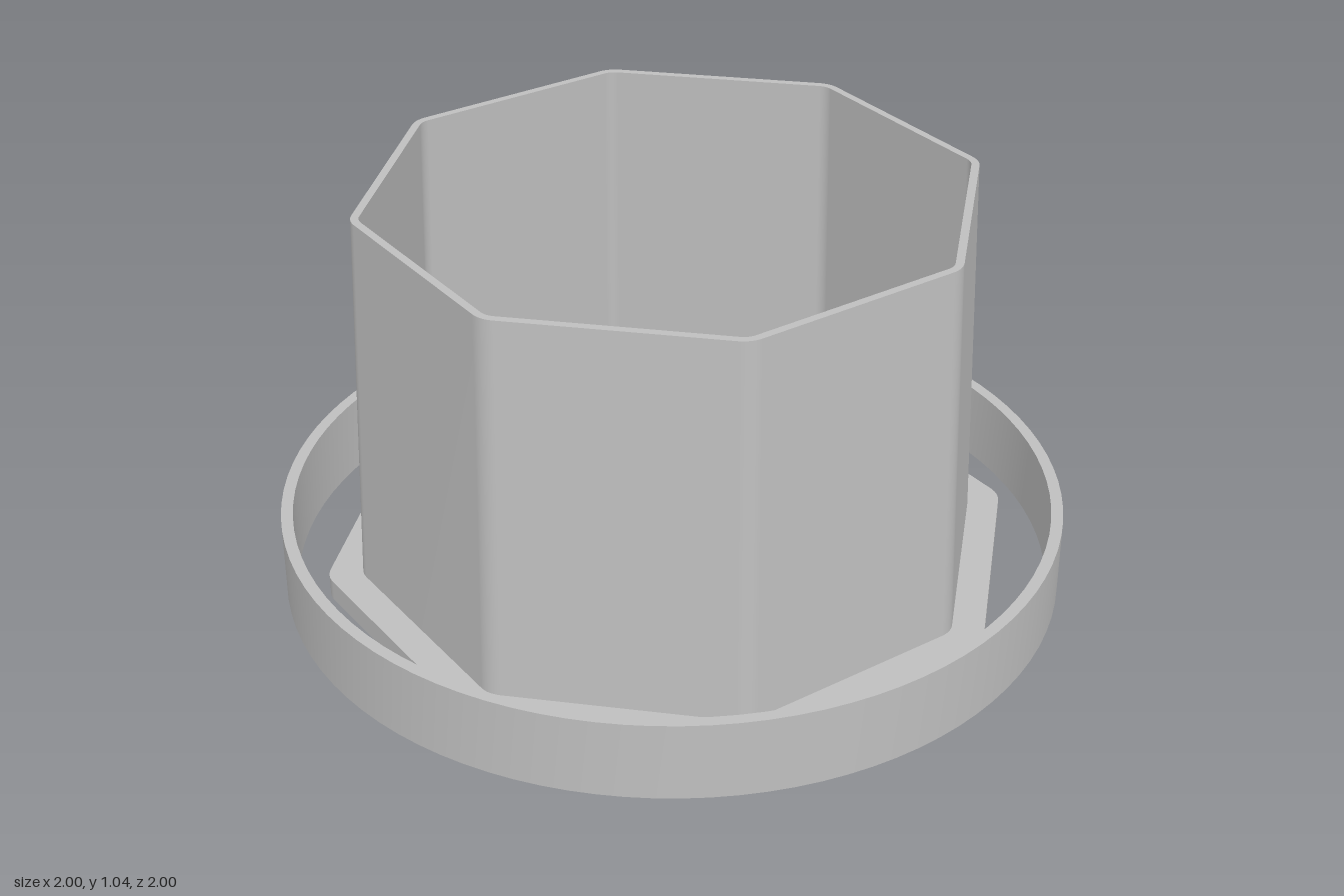
import * as THREE from 'three';
import { mergeGeometries } from 'three/addons/utils/BufferGeometryUtils.js';

const grey = new THREE.MeshStandardMaterial({ color: 0xbfbfbf });
grey.name = 'grey';

// Outline of a regular octagon with rounded corners, as [x, z] points
function octagon(apothem, radius, steps = 6) {
  const points = [];
  const centre = (apothem - radius) / Math.cos(Math.PI / 8);
  for (let k = 0; k < 8; k++) {
    const corner = (k + 0.5) * Math.PI / 4;
    for (let s = 0; s <= steps; s++) {
      const a = corner + (s / steps - 0.5) * Math.PI / 4;
      points.push([
        centre * Math.cos(corner) + radius * Math.cos(a),
        centre * Math.sin(corner) + radius * Math.sin(a),
      ]);
    }
  }
  return points;
}

// Outline of a circle
function circle(radius, steps = 96) {
  return Array.from({ length: steps }, (_, i) => {
    const a = i / steps * Math.PI * 2;
    return [radius * Math.cos(a), radius * Math.sin(a)];
  });
}

// Closed loft through outlines: smooth around, sharp between bands
function loft(sections) {
  const bands = sections.map((low, i) => {
    const high = sections[(i + 1) % sections.length];
    const n = low.outline.length;
    const positions = [], index = [];
    for (const { outline, y } of [low, high]) {
      for (const [x, z] of outline) positions.push(x, y, z);
    }
    for (let j = 0; j < n; j++) {
      const k = (j + 1) % n;
      index.push(j, n + j, k, k, n + j, n + k);
    }
    const band = new THREE.BufferGeometry();
    band.setAttribute('position', new THREE.Float32BufferAttribute(positions, 3));
    band.setIndex(index);
    band.computeVertexNormals();
    return band;
  });
  return mergeGeometries(bands);
}

function addPart(group, name, sections) {
  const mesh = new THREE.Mesh(loft(sections), grey);
  mesh.name = name;
  group.add(mesh);
}

export function createModel() {
  const model = new THREE.Group();
  model.name = 'octagonalSleeveWithRing';

  // Tapered hollow sleeve with a flat flange at its foot: apothem, height, corner radius
  const profile = [
    [0.83, 0, 0.08],
    [0.83, 0.055, 0.08],
    [0.75, 0.055, 0.07],
    [0.72, 1.045, 0.07],
    [0.7, 1.045, 0.045],
    [0.728, 0, 0.045],
  ];
  addPart(model, 'flangedSleeve',
    profile.map(([apothem, y, radius]) => ({ outline: octagon(apothem, radius), y })));

  // Loose round band encircling the foot: radius, height
  const band = [[1, 0], [1, 0.205], [0.97, 0.205], [0.97, 0]];
  addPart(model, 'outerRing', band.map(([r, y]) => ({ outline: circle(r), y })));

  return model;
}
